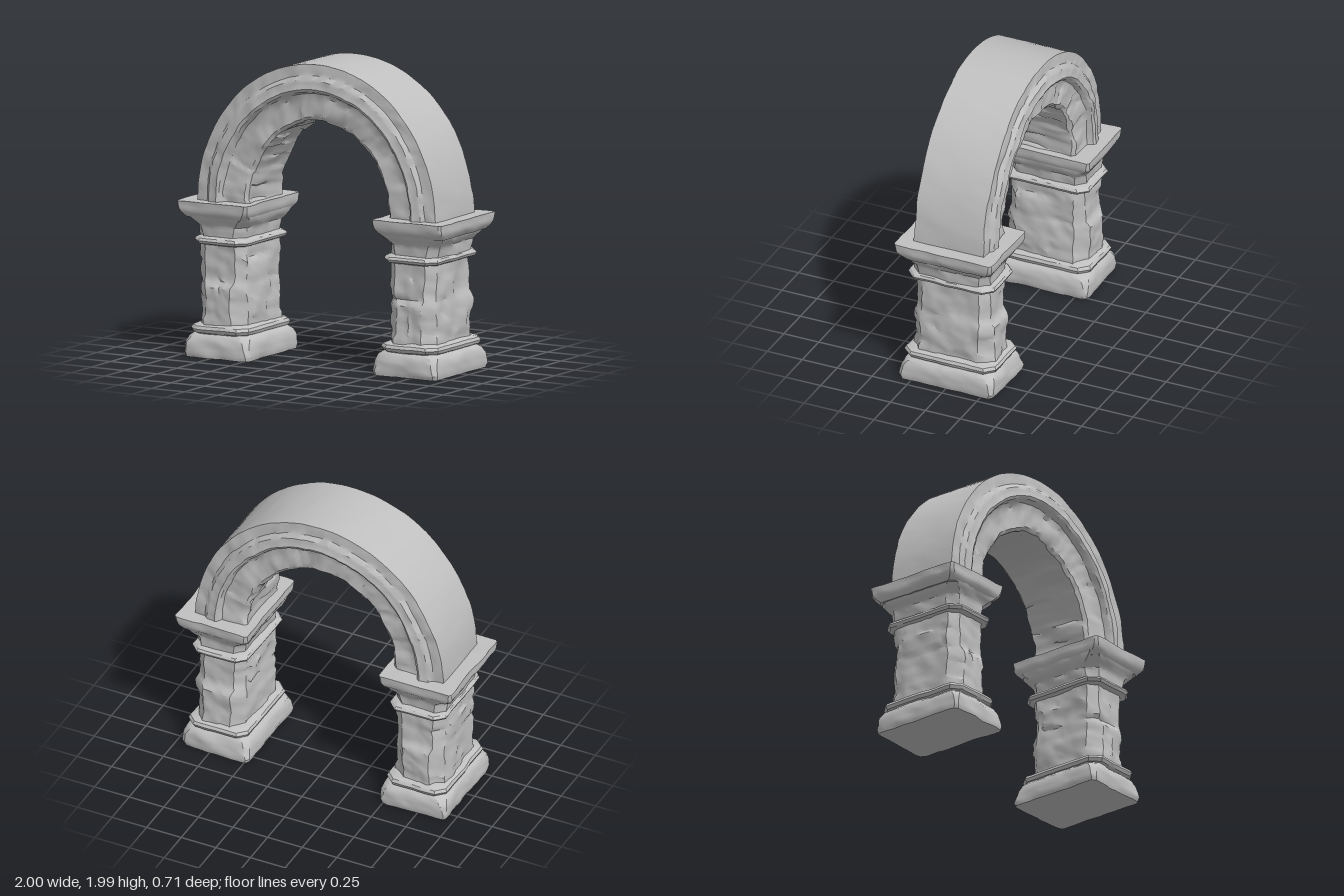
import * as THREE from 'three';
import { toCreasedNormals } from 'three/addons/utils/BufferGeometryUtils.js';

const stone = new THREE.MeshStandardMaterial({ color: 0xc0c0c0 });
stone.name = 'grey stone';

// Repeatable lattice noise for weathering, in -1..1
const hash = (x, y, z) => {
  const s = Math.sin(x * 127.1 + y * 311.7 + z * 74.7) * 43758.5453;
  return (s - Math.floor(s)) * 2 - 1;
};
const lerp = THREE.MathUtils.lerp;
function noise(x, y, z) {
  const [i, j, k] = [x, y, z].map(Math.floor);
  const [u, v, w] = [x - i, y - j, z - k].map((t) => t * t * (3 - 2 * t));
  const edge = (b, c) => lerp(hash(i, j + b, k + c), hash(i + 1, j + b, k + c), u);
  return lerp(lerp(edge(0, 0), edge(1, 0), v), lerp(edge(0, 1), edge(1, 1), v), w);
}
function weather(p, amount) {
  const n = (o) => noise(p.x * 9 + o, p.y * 9 + o, p.z * 9) * 0.7
    + noise(p.x * 24 + o, p.y * 24, p.z * 24 + o) * 0.4;
  return new THREE.Vector3(p.x + n(11) * amount, p.y + n(37) * amount * 0.35, p.z + n(71) * amount);
}

// Insert in-between points so no step is longer than the given length
function densify(points, step) {
  const out = [points[0]];
  for (let i = 1; i < points.length; i++) {
    const a = points[i - 1], b = points[i];
    const n = Math.max(1, Math.ceil(Math.hypot(b[0] - a[0], b[1] - a[1]) / step - 1e-6));
    for (let s = 1; s <= n; s++) out.push(a.map((v, k) => lerp(v, b[k], s / n)));
  }
  return out;
}

// Skin a list of closed rings, optionally capping both ends
function skin(name, rings, capped) {
  const pos = [], n = rings[0].length;
  const tri = (...ps) => ps.forEach((p) => pos.push(p.x, p.y, p.z));
  for (let i = 0; i < rings.length - 1; i++) {
    for (let j = 0; j < n; j++) {
      const k = (j + 1) % n;
      const a = rings[i][j], b = rings[i][k], c = rings[i + 1][k], d = rings[i + 1][j];
      tri(a, d, c);
      tri(a, c, b);
    }
  }
  if (capped) {
    const mid = (r) => r.reduce((s, p) => s.add(p), new THREE.Vector3()).divideScalar(n);
    const low = rings[0], top = rings[rings.length - 1], lowMid = mid(low), topMid = mid(top);
    for (let j = 0; j < n; j++) {
      const k = (j + 1) % n;
      tri(lowMid, low[j], low[k]);
      tri(topMid, top[k], top[j]);
    }
  }
  const g = new THREE.BufferGeometry();
  g.setAttribute('position', new THREE.Float32BufferAttribute(pos, 3));
  const mesh = new THREE.Mesh(toCreasedNormals(g, 0.6), stone);
  mesh.name = name;
  return mesh;
}

// Rectangle with cut corners, subdivided along its edges
function rectRing(cx, y, hx, hz, c) {
  const corners = [[hx, -hz + c], [hx, hz - c], [hx - c, hz], [-hx + c, hz],
    [-hx, hz - c], [-hx, -hz + c], [-hx + c, -hz], [hx - c, -hz]];
  const counts = [12, 2, 8, 2, 12, 2, 8, 2], ring = [];
  corners.forEach((a, e) => {
    const b = corners[(e + 1) % 8];
    for (let s = 0; s < counts[e]; s++) {
      const t = s / counts[e];
      ring.push(new THREE.Vector3(cx + lerp(a[0], b[0], t), y, lerp(a[1], b[1], t)));
    }
  });
  return ring;
}

// Pillar profiles: [height, half width, half depth, corner cut]
const PILLAR = [
  { name: 'plinth', cx: 0.71, rough: 0.014, rows: [[0, 0.235, 0.33, 0.02], [0.03, 0.242, 0.337, 0.02],
    [0.1, 0.237, 0.335, 0.03], [0.135, 0.225, 0.32, 0.04], [0.165, 0.19, 0.29, 0.05]] },
  { name: 'baseRing', cx: 0.715, rough: 0.007, rows: [[0.15, 0.18, 0.29, 0.06], [0.163, 0.207, 0.317, 0.06],
    [0.185, 0.216, 0.327, 0.06], [0.205, 0.207, 0.317, 0.06], [0.222, 0.17, 0.28, 0.06]] },
  { name: 'shaft', cx: 0.717, rough: 0.016, blocks: 0.008, rows: [[0.2, 0.177, 0.29, 0.08],
    [0.46, 0.176, 0.292, 0.08], [0.5, 0.17, 0.265, 0.06], [0.76, 0.17, 0.265, 0.06]] },
  { name: 'neckRing', cx: 0.715, rough: 0.006, rows: [[0.735, 0.17, 0.27, 0.06], [0.745, 0.193, 0.3, 0.06],
    [0.763, 0.202, 0.31, 0.06], [0.78, 0.193, 0.3, 0.06], [0.792, 0.17, 0.27, 0.06]] },
  { name: 'capital', cx: 0.725, rough: 0.014, rows: [[0.77, 0.172, 0.268, 0.06], [0.86, 0.185, 0.275, 0.06],
    [0.885, 0.208, 0.29, 0.06], [0.91, 0.224, 0.31, 0.05], [0.95, 0.235, 0.33, 0.04]] },
  { name: 'abacus', cx: 0.735, rough: 0.011, rows: [[0.915, 0.225, 0.31, 0.03], [0.945, 0.247, 0.337, 0.025],
    [0.965, 0.256, 0.345, 0.02], [1.022, 0.26, 0.349, 0.015]] },
];

function makePillar(side) {
  const pillar = new THREE.Group();
  pillar.name = side > 0 ? 'leftPillar' : 'rightPillar';
  for (const { name, cx, rows, rough, blocks = 0 } of PILLAR) {
    const rings = densify(rows, 0.028).map(([y, hx, hz, c]) =>
      rectRing(side * cx, y, hx, hz, c).map((p) => {
        // Uneven blocks in staggered courses
        const course = Math.floor(y / 0.13);
        const bump = blocks * hash(course + side * 9, Math.floor(p.z / 0.15 + (course % 2) / 2), Math.sign(p.x - side * cx));
        const q = weather(p, rough);
        q.x += bump * Math.sign(p.x - side * cx);
        q.z += bump * Math.sign(p.z);
        q.y = y === 0 ? 0 : q.y;
        return q;
      }));
    pillar.add(skin(name, rings, true));
  }
  return pillar;
}

// Arch: a moulded section [inner 0 to outer 1, depth] swept over a half ellipse
function makeArch() {
  const face = [[1, 0.247], [0.8, 0.252], [0.73, 0.276], [0.63, 0.28], [0.57, 0.287],
    [0.52, 0.275], [0.48, 0.24], [0.4, 0.23], [0.06, 0.225], [0, 0.205]];
  const back = face.map(([u, z]) => [u, -z]).reverse();
  const section = densify([...face, ...back, face[0]], 0.09).slice(0, -1);
  const steps = 96, rings = [];
  for (let i = 0; i <= steps; i++) {
    const a = (i / steps) * Math.PI;
    rings.push(section.map(([u, z]) => {
      // Voussoirs of the inner band step in and out, the outer band stays even
      const inner = u < 0.45;
      const stoneId = Math.floor((i + (inner ? 0 : 3)) / (inner ? 5 : 8));
      const bump = hash(stoneId, inner ? 1 : 2, u < 0.02 ? Math.floor(z / 0.15) : Math.sign(z));
      const v = u < 0.1 ? u + bump * 0.025 : u;
      const p = new THREE.Vector3(Math.cos(a) * (0.53 + 0.365 * v), 1.005 + Math.sin(a) * (0.605 + 0.375 * v),
        z + Math.sign(z) * bump * (inner ? 0.008 : 0.004));
      return weather(p, u > 0.97 ? 0.005 : inner ? 0.016 : 0.011);
    }));
  }
  return skin('arch', rings, false);
}

export function createModel() {
  const model = new THREE.Group();
  model.name = 'stoneArchway';
  model.add(makePillar(1), makePillar(-1), makeArch());
  return model;
}
